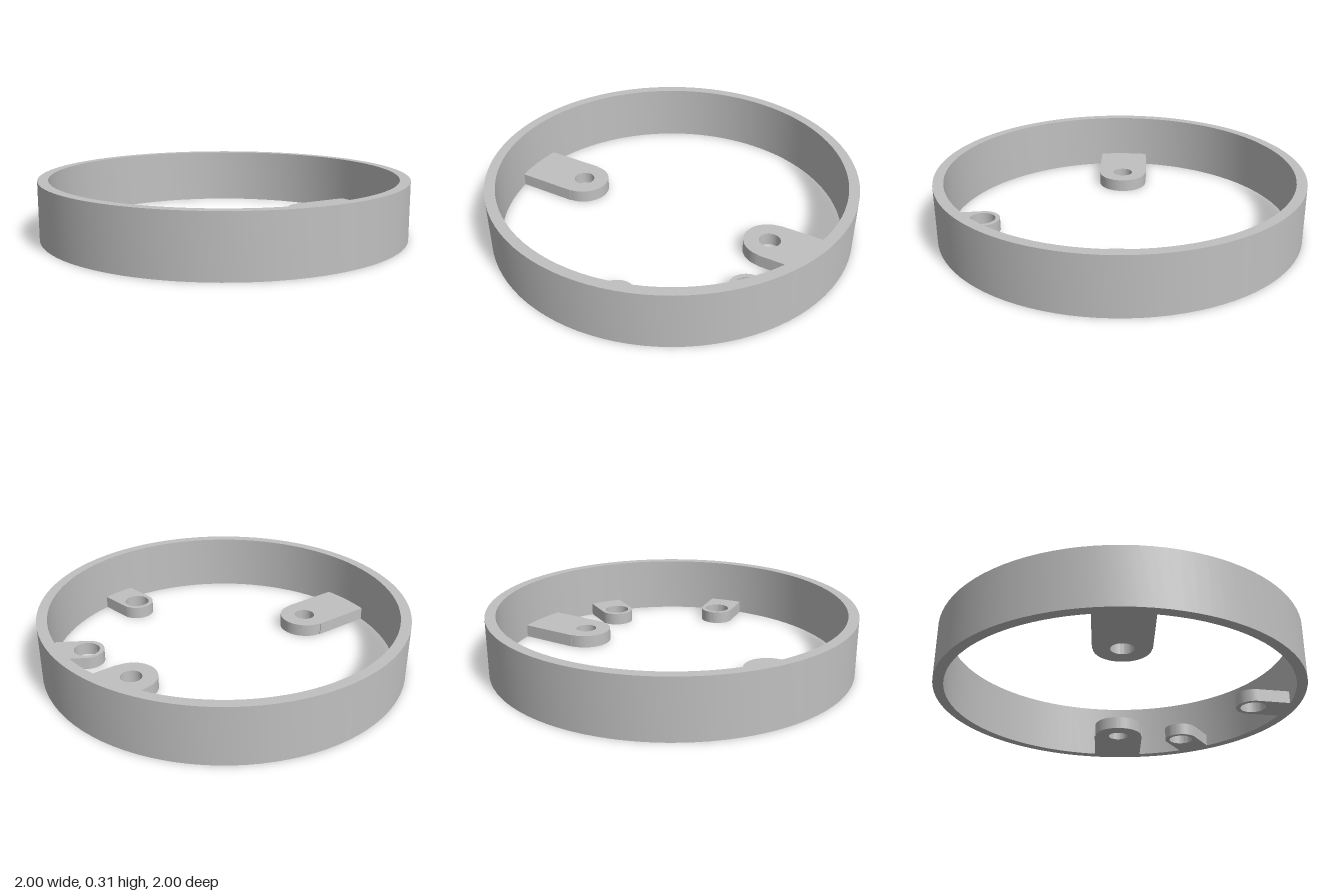
import * as THREE from 'three';
import { toCreasedNormals } from 'three/addons/utils/BufferGeometryUtils.js';

const OUTER = 1, INNER = 0.944, HEIGHT = 0.315, TAB_THICKNESS = 0.07;

// Extrude a plan shape upward from y = 0, smooth on curves and sharp on edges
function plate(shape, height, material, name) {
  const geo = new THREE.ExtrudeGeometry(shape, { depth: height, bevelEnabled: false, curveSegments: 48 });
  geo.rotateX(-Math.PI / 2);
  const mesh = new THREE.Mesh(toCreasedNormals(geo, 0.5), material);
  mesh.name = name;
  return mesh;
}

function circle(x, radius) {
  return new THREE.Path().absarc(x, 0, radius, 0, Math.PI * 2, true);
}

// Tab pointing from the ring wall to the centre, with a rounded, drilled end
function tabShape({ distance, halfWidth, endRadius, holeRadius }) {
  const a = Math.asin(halfWidth / INNER);
  const s = new THREE.Shape();
  s.moveTo(distance, -halfWidth);
  s.lineTo(INNER * Math.cos(a), -halfWidth);
  s.absarc(0, 0, INNER, -a, a, false);
  s.lineTo(distance, halfWidth);
  s.absarc(distance, 0, endRadius, Math.PI / 2, Math.PI * 1.5, false);
  s.closePath();
  s.holes.push(circle(distance, holeRadius));
  return s;
}

export function createModel() {
  const group = new THREE.Group();
  group.name = 'mountingRing';
  const grey = new THREE.MeshStandardMaterial({ color: 0xc0c0c0 });
  grey.name = 'plain grey';

  // Ring wall
  const ring = new THREE.Shape().absarc(0, 0, OUTER, 0, Math.PI * 2, false);
  ring.holes.push(circle(0, INNER));
  group.add(plate(ring, HEIGHT, grey, 'ringWall'));

  // Two wide tabs and two small tabs; angle runs from +x towards +z
  const wide = { distance: 0.597, halfWidth: 0.145, endRadius: 0.141, holeRadius: 0.058 };
  const small = { distance: 0.759, halfWidth: 0.096, endRadius: 0.096, holeRadius: 0.071 };
  const tabs = [
    ['wideTabLeft', wide, 0],
    ['wideTabRight', wide, 180],
    ['smallTabSide', small, 31],
    ['smallTabFront', small, 81],
  ];
  for (const [name, size, angle] of tabs) {
    const tab = plate(tabShape(size), TAB_THICKNESS, grey, name);
    tab.rotation.y = -THREE.MathUtils.degToRad(angle);
    group.add(tab);
  }
  return group;
}
